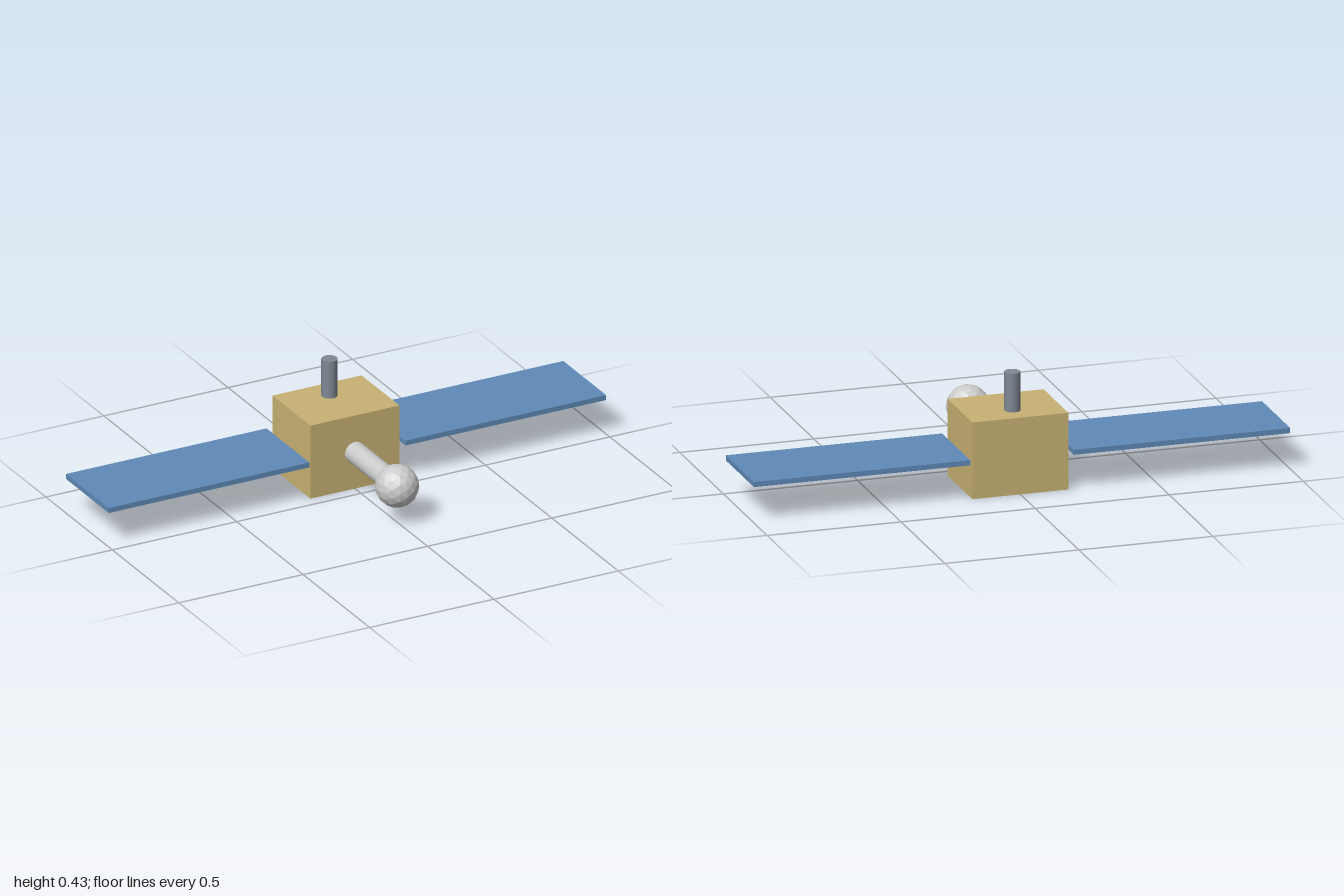
import * as THREE from 'three';

const CENTER_Y = 0.143; // height of panels, boom and ball
const BODY_Z = -0.1885;

export function createModel() {
  const model = new THREE.Group();
  model.name = 'satellite';

  const gold = new THREE.MeshStandardMaterial({ color: 0xc8b273 });
  const blue = new THREE.MeshStandardMaterial({ color: 0x5f8ab8 });
  const darkGrey = new THREE.MeshStandardMaterial({ color: 0x808893 });
  const grey = new THREE.MeshStandardMaterial({ color: 0xcccccc });
  const greyFaceted = new THREE.MeshStandardMaterial({ color: 0xcccccc, flatShading: true });

  const add = (name, geometry, material, x, y, z) => {
    const mesh = new THREE.Mesh(geometry, material);
    mesh.name = name;
    mesh.position.set(x, y, z);
    model.add(mesh);
    return mesh;
  };

  // Box body
  add('body', new THREE.BoxGeometry(0.358, 0.286, 0.285), gold, 0, CENTER_Y, BODY_Z);

  // Solar panels, separated from the body by a narrow gap
  for (const side of [1, -1]) {
    add(side > 0 ? 'leftPanel' : 'rightPanel',
      new THREE.BoxGeometry(0.807, 0.019, 0.323), blue, side * 0.5965, CENTER_Y, BODY_Z);
  }

  // Antenna stub on the roof
  add('antenna', new THREE.CylinderGeometry(0.029, 0.029, 0.144, 24), darkGrey, 0, 0.358, -0.238);

  // Forward boom, its ends sunk into the body and the ball
  const boom = add('boom', new THREE.CylinderGeometry(0.04, 0.04, 0.28, 24), grey, 0, CENTER_Y, 0.09);
  boom.rotation.x = Math.PI / 2;

  // Faceted ball at the end of the boom
  add('ball', new THREE.IcosahedronGeometry(0.079, 2), greyFaceted, 0, CENTER_Y, 0.271);

  return model;
}
